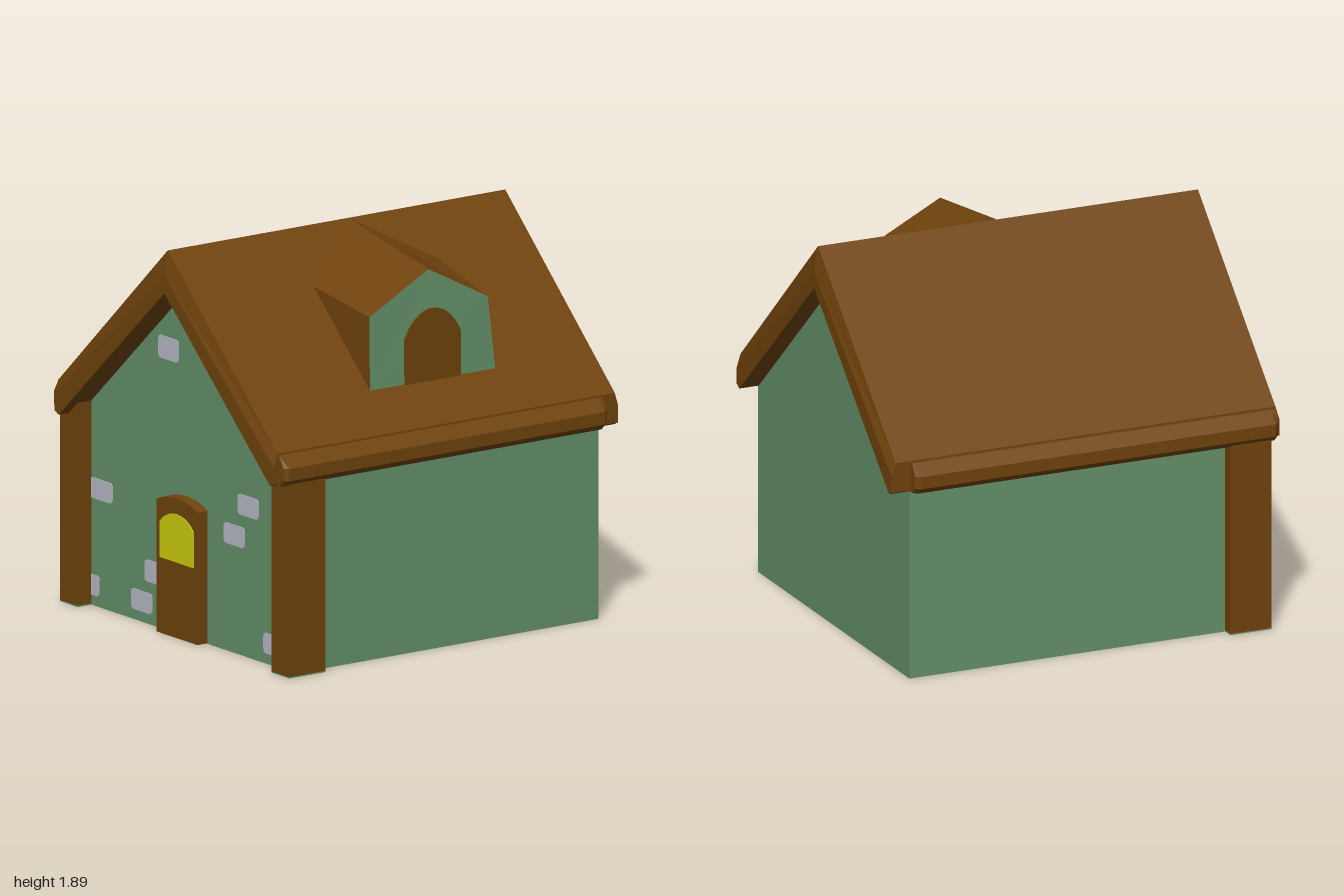
import * as THREE from 'three';

const wood = new THREE.MeshStandardMaterial({ name: 'brown wood', color: 0x70430c });
const plaster = new THREE.MeshStandardMaterial({ name: 'green plaster', color: 0x65916a });
const stone = new THREE.MeshStandardMaterial({ name: 'grey stone', color: 0xb8b9c6 });
const glass = new THREE.MeshStandardMaterial({ name: 'yellow glass', color: 0xcccc0e });

// Flat-faced geometry from triangles of [x, y, z] corners
function faceted(corners) {
  const g = new THREE.BufferGeometry();
  g.setAttribute('position', new THREE.Float32BufferAttribute(corners.flat(), 3));
  g.computeVertexNormals();
  return g;
}

// Joins counter-clockwise outlines, each { z, pts }, from back to front and caps both ends
function loft(sections) {
  const out = [];
  const at = (s, i) => [...s.pts[i % s.pts.length], s.z];
  for (let k = 0; k < sections.length - 1; k++) {
    const b = sections[k], f = sections[k + 1];
    for (let i = 0; i < b.pts.length; i++) {
      out.push(at(b, i), at(b, i + 1), at(f, i + 1), at(b, i), at(f, i + 1), at(f, i));
    }
  }
  const cap = (s, flip) => {
    const tris = THREE.ShapeUtils.triangulateShape(s.pts.map((p) => new THREE.Vector2(...p)), []);
    for (const [a, b, c] of tris) out.push(at(s, a), at(s, flip ? c : b), at(s, flip ? b : c));
  };
  cap(sections[0], true);
  cap(sections[sections.length - 1], false);
  return faceted(out);
}

// Mirrors an outline across x = 0, keeping its winding
const mirror = (pts) => pts.map(([x, y]) => [-x, y]).reverse();

function extrude(shape, depth) {
  return new THREE.ExtrudeGeometry(shape, { depth, bevelEnabled: false, curveSegments: 10 });
}

// Upright panel with a low curved top
function archShape(x0, x1, y0, ySide, yTop) {
  const s = new THREE.Shape();
  const w = x1 - x0;
  s.moveTo(x0, y0);
  s.lineTo(x1, y0);
  s.lineTo(x1, ySide);
  s.bezierCurveTo(x1 - w * 0.25, ySide + (yTop - ySide) * 1.33,
    x0 + w * 0.25, ySide + (yTop - ySide) * 1.33, x0, ySide);
  s.closePath();
  return s;
}

function roundedRect(x0, x1, y0, y1, r) {
  const s = new THREE.Shape();
  s.moveTo(x0 + r, y0);
  s.lineTo(x1 - r, y0);
  s.quadraticCurveTo(x1, y0, x1, y0 + r);
  s.lineTo(x1, y1 - r);
  s.quadraticCurveTo(x1, y1, x1 - r, y1);
  s.lineTo(x0 + r, y1);
  s.quadraticCurveTo(x0, y1, x0, y1 - r);
  s.lineTo(x0, y0 + r);
  s.quadraticCurveTo(x0, y0, x0 + r, y0);
  return s;
}

export function createModel() {
  const house = new THREE.Group();
  house.name = 'cottage';
  const add = (name, geometry, material, parent = house) => {
    const m = new THREE.Mesh(geometry, material);
    m.name = name;
    parent.add(m);
    return m;
  };
  const wallZ = 0.86;

  // Gabled walls
  const gable = [[-0.85, 0], [0.85, 0], [0.85, 0.96], [0, 1.73], [-0.85, 0.96]];
  add('walls', loft([{ z: -0.9, pts: gable }, { z: wallZ, pts: gable }]), plaster);

  // Main roof, with its gable ends bevelled along the top
  const chevron = (apex, eave) => {
    const right = [[0.84, 0.925], [0.87, 0.94], [0.87, eave]];
    return [[0, apex], ...mirror(right), [0, 1.685], ...right];
  };
  const full = chevron(1.89, 1.085), inset = chevron(1.77, 1.02);
  add('roof', loft([
    { z: -1, pts: inset }, { z: -0.98, pts: full }, { z: 0.98, pts: full }, { z: 1, pts: inset },
  ]), wood);

  // Eave boards and corner posts on both sides
  const eave = (x) => [[0.84, 0.93], [x - 0.03, 0.93], [x, 0.96], [x, 1.02], [0.88, 1.075], [0.84, 1.08]];
  const post = [[0.77, 0.006], [0.91, 0.006], [0.91, 0.96], [0.77, 1.05]];
  for (const side of [1, -1]) {
    const m = (pts) => (side > 0 ? pts : mirror(pts));
    const name = side > 0 ? 'left' : 'right';
    add(name + 'EaveBoard', loft([
      { z: -0.9, pts: m(eave(0.912)) }, { z: -0.88, pts: m(eave(0.932)) },
      { z: 0.955, pts: m(eave(0.932)) }, { z: 0.975, pts: m(eave(0.912)) },
    ]), wood);
    add(name + 'CornerPost', loft([{ z: 0.73, pts: m(post) }, { z: 0.94, pts: m(post) }]), wood);
    const foot = add(name + 'PostFoot', new THREE.BoxGeometry(0.14, 0.006, 0.21), plaster);
    foot.position.set(side * 0.84, 0.003, 0.835);
  }

  // Front door with its lit window
  const door = new THREE.Group();
  door.name = 'door';
  house.add(door);
  add('doorPanel', extrude(archShape(-0.173, 0.153, 0.003, 0.643, 0.68), 0.07), wood, door)
    .position.z = wallZ - 0.01;
  add('doorWindow', extrude(archShape(-0.14, 0.125, 0.37, 0.545, 0.603), 0.005), glass, door)
    .position.z = wallZ + 0.06;

  // Loose stones showing through the front plaster
  const stones = [
    [-0.235, -0.075, 1.31, 1.42], [-0.78, -0.6, 0.52, 0.62], [0.395, 0.56, 0.68, 0.78],
    [0.285, 0.45, 0.52, 0.62], [-0.345, -0.16, 0.205, 0.31], [-0.45, -0.285, 0.05, 0.15],
    [-0.81, -0.705, 0.05, 0.15], [0.6, 0.78, 0.05, 0.15],
  ];
  for (const [x0, x1, y0, y1] of stones) {
    add('wallStone', extrude(roundedRect(x0, x1, y0, y1, 0.022), 0.005), stone)
      .position.z = wallZ - 0.001;
  }

  // Dormer on the left slope: roof, cheeks and front
  const dormer = new THREE.Group();
  dormer.name = 'dormer';
  house.add(dormer);
  const ridgeBack = [0, 1.89, -0.07], ridgeFront = [0.675, 1.785, -0.04];
  const eaveBackA = [0.2, 1.67, 0.31], eaveFrontA = [0.682, 1.605, 0.308], footA = [0.69, 1.23, 0.31];
  const eaveBackB = [0.18, 1.69, -0.435], eaveFrontB = [0.682, 1.605, -0.38], footB = [0.69, 1.23, -0.42];
  add('dormerRoof', faceted([
    ridgeBack, eaveBackA, eaveFrontA, ridgeBack, eaveFrontA, ridgeFront,
    ridgeBack, ridgeFront, eaveFrontB, ridgeBack, eaveFrontB, eaveBackB,
  ]), wood, dormer);
  add('dormerCheeks', faceted([
    eaveBackA, footA, eaveFrontA, eaveBackB, eaveFrontB, footB,
  ]), wood, dormer);
  add('dormerFront', faceted([
    footA, footB, eaveFrontB, footA, eaveFrontB, ridgeFront, footA, ridgeFront, eaveFrontA,
  ]), plaster, dormer);

  // Round-topped shutter on the dormer
  const shutter = add('dormerShutter', extrude(archShape(-0.11, 0.215, 1.23, 1.47, 1.6), 0.008), wood, dormer);
  shutter.rotation.y = Math.PI / 2;
  shutter.position.x = 0.685;

  return house;
}
